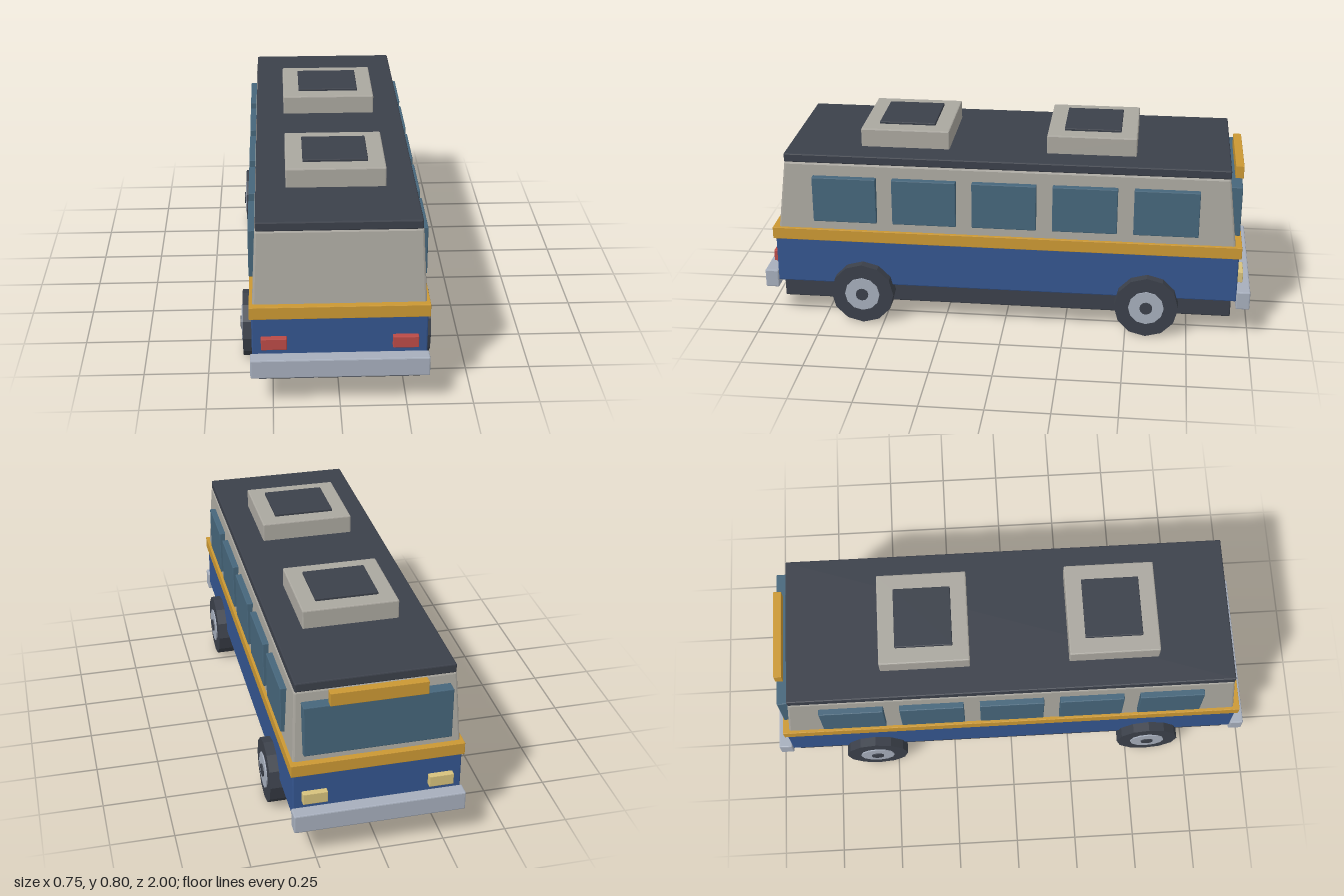
import * as THREE from 'three';
import { RoundedBoxGeometry } from 'three/addons/geometries/RoundedBoxGeometry.js';

const mat = (name, color) => {
  const m = new THREE.MeshStandardMaterial({ color, flatShading: true });
  m.name = name;
  return m;
};

export function createModel() {
  const bus = new THREE.Group();
  bus.name = 'bus';
  const blue = mat('body blue', 0x34558f);
  const cream = mat('warm grey', 0xaaa79f);
  const dark = mat('charcoal', 0x3b404a);
  const gold = mat('gold', 0xcb9833);
  const glass = mat('window glass', 0x46667b);
  const chrome = mat('light metal', 0xa6aebc);
  const red = mat('tail lamp red', 0xba4a46);
  const lamp = mat('headlamp yellow', 0xd6c17c);

  const add = (name, geo, material) => {
    const mesh = new THREE.Mesh(geo, material);
    mesh.name = name;
    bus.add(mesh);
    return mesh;
  };
  // box given by its limits, with a small chamfer
  const box = (name, material, [x0, x1], [y0, y1], [z0, z1], bevel = 0.005) => {
    const geo = new RoundedBoxGeometry(x1 - x0, y1 - y0, z1 - z0, 1, bevel);
    geo.translate((x0 + x1) / 2, (y0 + y1) / 2, (z0 + z1) / 2);
    return add(name, geo, material);
  };

  // lower body
  box('chassis', dark, [-0.305, 0.305], [0.077, 0.17], [-0.925, 0.925]);
  box('lowerBody', blue, [-0.326, 0.326], [0.157, 0.355], [-0.945, 0.945]);
  box('beltStripe', gold, [-0.334, 0.334], [0.35, 0.4], [-0.955, 0.955], 0.002);

  // cabin narrows towards the roof
  const cabin = box('cabin', cream, [-0.322, 0.322], [0.39, 0.682], [-0.93, 0.93], 0.008);
  const p = cabin.geometry.attributes.position;
  for (let i = 0; i < p.count; i++) {
    const t = (p.getY(i) - 0.39) / 0.292;
    p.setX(i, p.getX(i) * (1 - 0.045 * t));
    p.setZ(i, p.getZ(i) * (1 - 0.037 * t));
  }
  box('roof', dark, [-0.305, 0.305], [0.68, 0.717], [-0.897, 0.897]);

  // roof units with hatches
  for (const z of [0.418, -0.341]) {
    box('roofUnit', cream, [-0.191, 0.191], [0.71, 0.793], [z - 0.181, z + 0.181]);
    box('roofHatch', dark, [-0.125, 0.125], [0.785, 0.803], [z - 0.115, z + 0.115], 0.003);
  }

  // side windows
  for (const s of [-1, 1]) {
    for (let i = -2; i <= 2; i++) {
      const z = i * 0.325;
      const x = s > 0 ? [0.3, 0.335] : [-0.335, -0.3];
      box('sideWindow', glass, x, [0.437, 0.629], [z - 0.13, z + 0.13], 0.003);
    }
  }

  // windscreen and destination board
  box('windscreen', glass, [-0.283, 0.283], [0.43, 0.64], [-0.945, -0.895], 0.003);
  box('destinationBoard', gold, [-0.185, 0.185], [0.638, 0.692], [-0.951, -0.918], 0.002);

  // bumpers and lamps at both ends
  for (const s of [-1, 1]) {
    box('bumper', chrome, [-0.333, 0.333], [0.126, 0.203], s > 0 ? [0.944, 1] : [-1, -0.944]);
    for (const x of [-0.244, 0.244]) {
      box(s > 0 ? 'tailLamp' : 'headlamp', s > 0 ? red : lamp,
        [x - 0.048, x + 0.048], [0.228, 0.275], s > 0 ? [0.935, 0.968] : [-0.968, -0.935], 0.003);
    }
  }

  // wheels: tyre, rim and hub cap
  const disc = (name, material, r, x0, x1, s, z) => {
    const geo = new THREE.CylinderGeometry(r, r, x1 - x0, 12);
    geo.rotateZ(Math.PI / 2);
    add(name, geo, material).position.set(s * (x0 + x1) / 2, 0.13, z);
  };
  for (const s of [-1, 1]) {
    for (const z of [0.585, -0.583]) {
      disc('tyre', dark, 0.13, 0.275, 0.365, s, z);
      disc('rim', chrome, 0.072, 0.35, 0.37, s, z);
      disc('hubCap', dark, 0.026, 0.36, 0.375, s, z);
    }
  }
  return bus;
}
